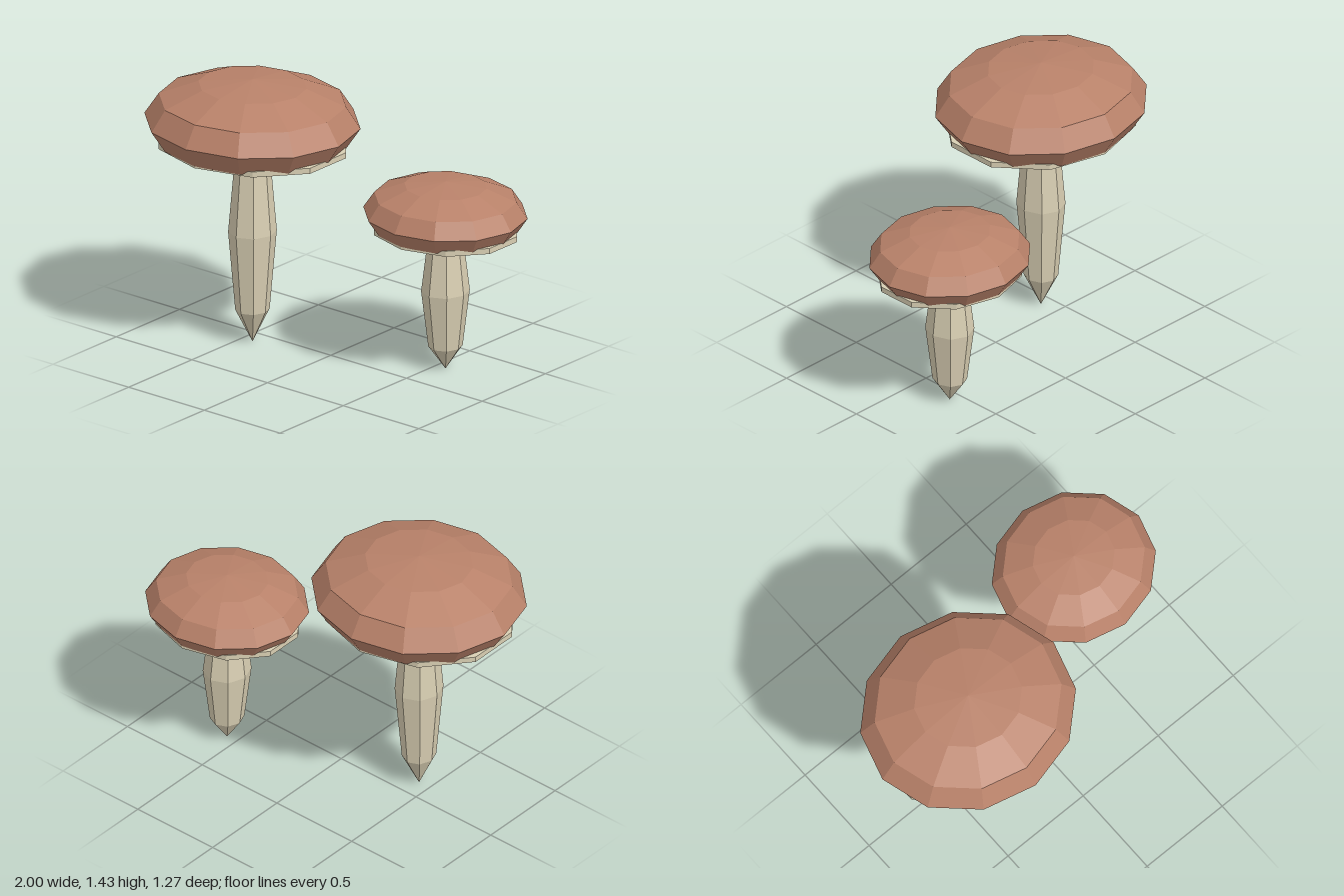
import * as THREE from 'three';

const mat = (name, color) => {
  const m = new THREE.MeshStandardMaterial({ color });
  m.name = name;
  return m;
};

// Flat-faceted copy of a geometry
const faceted = (geo) => {
  const g = geo.toNonIndexed();
  g.computeVertexNormals();
  return g;
};

export function createModel() {
  const root = new THREE.Group();
  root.name = 'mushrooms';
  const brown = mat('capBrown', 0xb88169);
  const cream = mat('stemCream', 0xd9cfb3);

  const add = (parent, name, geo, material, scale, y) => {
    geo.scale(...scale);
    const mesh = new THREE.Mesh(faceted(geo), material);
    mesh.name = name;
    mesh.position.y = y;
    parent.add(mesh);
  };

  const mushroom = (name, x, z, capY, cap, stemHalf, gill, gillY) => {
    const g = new THREE.Group();
    g.name = name;
    g.position.set(x, 0, z);
    // Spindle stem, pointed at the foot and buried in the cap
    add(g, 'stem', new THREE.SphereGeometry(1, 8, 4), cream, [0.12, stemHalf, 0.129], stemHalf);
    // Flattened cap
    add(g, 'cap', new THREE.SphereGeometry(1, 12, 6), brown, cap, capY);
    // Gill rim peeking out under the cap, with a shallow tapered underside
    const drop = gill[0] * 0.044;
    add(g, 'gillRim', new THREE.CylinderGeometry(1, 1, 1, 10), cream, [gill[0], 0.03, gill[1]], gillY + 0.015);
    add(g, 'gillUnderside', new THREE.CylinderGeometry(1, 0.75, 1, 10, 1, true), cream, [gill[0], drop, gill[1]], gillY - drop / 2);
    root.add(g);
  };

  mushroom('tallMushroom', -0.43, 0.105, 1.2, [0.57, 0.226, 0.528], 0.602, [0.526, 0.459], 1.079);
  mushroom('shortMushroom', 0.563, -0.233, 0.847, [0.433, 0.17, 0.402], 0.425, [0.402, 0.35], 0.75);
  return root;
}
